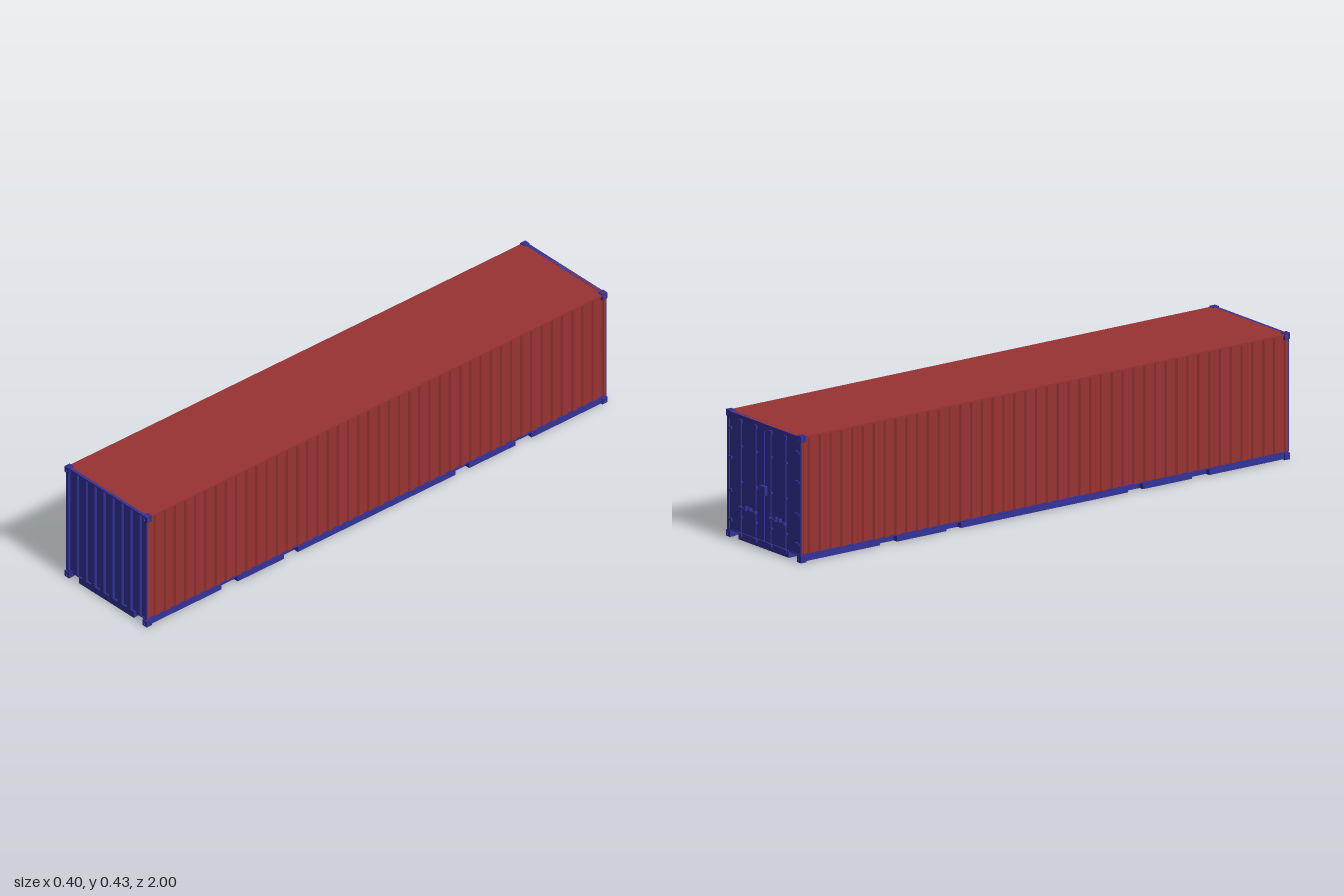
import * as THREE from 'three';

const red = new THREE.MeshStandardMaterial({ color: 0x993333 });
const blue = new THREE.MeshStandardMaterial({ color: 0x333399 });

function add(parent, name, geometry, material, x = 0, y = 0, z = 0) {
  const mesh = new THREE.Mesh(geometry, material);
  mesh.name = name;
  mesh.position.set(x, y, z);
  parent.add(mesh);
  return mesh;
}

const box = (parent, name, mat, w, h, d, x, y, z) =>
  add(parent, name, new THREE.BoxGeometry(w, h, d), mat, x, y, z);

// Extrude a plan outline upwards; plan y becomes -z
function extrudeUp(shape, height) {
  return new THREE.ExtrudeGeometry(shape, { depth: height, bevelEnabled: false }).rotateX(-Math.PI / 2);
}

// Wall with n trapezoidal grooves; outer face on z = 0, facing +z
function corrugated(length, n, pitch, height) {
  const depth = 0.006;
  const pts = [[-length / 2, 0]];
  for (let i = 0; i < n; i++) {
    const c = (i - (n - 1) / 2) * pitch;
    pts.push([c - 0.013, 0], [c - 0.008, depth], [c + 0.008, depth], [c + 0.013, 0]);
  }
  pts.push([length / 2, 0], [length / 2, 0.01], [-length / 2, 0.01]);
  return extrudeUp(new THREE.Shape(pts.map(p => new THREE.Vector2(...p))), height);
}

// Corner block: a core clad with six plates, each with an oval hole
function cornerCasting() {
  const g = new THREE.Group();
  g.name = 'cornerCasting';
  const s = 0.011, t = 0.003;
  box(g, 'castingCore', blue, 2 * (s - t), 2 * (s - t), 2 * (s - t), 0, 0, 0);
  const face = new THREE.Shape([[-s, -s], [s, -s], [s, s], [-s, s]].map(p => new THREE.Vector2(...p)));
  face.holes.push(new THREE.Path().absellipse(0, 0, 0.0045, 0.007, 0, Math.PI * 2, true));
  const plate = new THREE.ExtrudeGeometry(face, { depth: t, bevelEnabled: false, curveSegments: 8 });
  plate.translate(0, 0, s - t);
  const turns = [[0, 0], [0, 1], [0, 2], [0, 3], [1, 0], [-1, 0]];
  for (const [rx, ry] of turns) {
    add(g, 'castingPlate', plate, blue).rotation.set(rx * Math.PI / 2, ry * Math.PI / 2, 0);
  }
  return g;
}

// Base outline with open pockets at the ends and fork pockets along the sides
function basePlan() {
  const q = [[0.135, 0.992], [0.135, 0.9], [0.178, 0.9], [0.178, 0.992], [0.198, 0.992],
    [0.198, 0.67], [0.18, 0.67], [0.18, 0.6], [0.198, 0.6],
    [0.198, 0.4], [0.18, 0.4], [0.18, 0.34], [0.198, 0.34]];
  const half = [...q, ...q.map(([x, z]) => [x, -z]).reverse()];
  const all = [...half, ...half.map(([x, z]) => [-x, z]).reverse()];
  const shape = new THREE.Shape(all.map(p => new THREE.Vector2(...p)));
  for (const s of [-1, 1]) {
    const a = s * 0.135, b = s * 0.178;
    shape.holes.push(new THREE.Path([[a, -0.08], [b, -0.08], [b, 0.08], [a, 0.08]].map(p => new THREE.Vector2(...p))));
  }
  return shape;
}

export function createModel() {
  const model = new THREE.Group();
  model.name = 'shippingContainer';

  // Base frame and floor
  add(model, 'baseFrame', extrudeUp(basePlan(), 0.021), blue, 0, 0.003, 0.004);
  box(model, 'floor', blue, 0.396, 0.004, 1.982, 0, 0.025, 0.004);

  // Roof
  box(model, 'roof', red, 0.398, 0.005, 1.98, 0, 0.4225, 0.004);

  // Corrugated side walls and their slim top rails
  const sideWall = corrugated(1.98, 45, 0.044, 0.394);
  for (const s of [-1, 1]) {
    add(model, 'sideWall', sideWall, red, s * 0.199, 0.027, 0.004).rotation.y = s * Math.PI / 2;
    box(model, 'topRail', red, 0.008, 0.006, 1.98, s * 0.195, 0.422, 0.004);
  }

  // Corrugated front end with rails
  add(model, 'frontWall', corrugated(0.396, 9, 0.044, 0.394), blue, 0, 0.027, 0.997);
  box(model, 'frontTopRail', blue, 0.396, 0.005, 0.01, 0, 0.4228, 0.992);
  box(model, 'frontSill', blue, 0.27, 0.024, 0.01, 0, 0.015, 0.992);

  // Eight corner castings
  for (const x of [-0.191, 0.191])
    for (const y of [0.011, 0.417])
      for (const z of [-0.979, 0.989]) {
        const c = cornerCasting();
        c.position.set(x, y, z);
        model.add(c);
      }

  // Door frame
  const doorEnd = new THREE.Group();
  doorEnd.name = 'doorEnd';
  model.add(doorEnd);
  box(doorEnd, 'doorHeader', blue, 0.396, 0.024, 0.014, 0, 0.413, -0.982);
  box(doorEnd, 'doorSill', blue, 0.27, 0.024, 0.014, 0, 0.015, -0.982);
  const barGeo = new THREE.CylinderGeometry(0.0025, 0.0025, 0.378, 8);
  for (const s of [-1, 1]) {
    box(doorEnd, 'doorPost', blue, 0.012, 0.38, 0.014, s * 0.192, 0.215, -0.982);
    box(doorEnd, 'doorPanel', blue, 0.183, 0.374, 0.01, s * 0.0935, 0.214, -0.98);

    // Hinges along the outer edge
    for (const y of [0.06, 0.16, 0.27, 0.37])
      box(doorEnd, 'hinge', blue, 0.022, 0.009, 0.006, s * 0.181, y, -0.989);

    // Locking bars with keepers, brackets and handles
    for (const x of [0.04, 0.12]) {
      add(doorEnd, 'lockingBar', barGeo, blue, s * x, 0.214, -0.99);
      for (const y of [0.022, 0.406]) box(doorEnd, 'barKeeper', blue, 0.014, 0.012, 0.008, s * x, y, -0.991);
      for (const y of [0.08, 0.2, 0.32]) box(doorEnd, 'barBracket', blue, 0.01, 0.006, 0.009, s * x, y, -0.989);
      const inward = x > 0.1 ? -1 : 1;
      box(doorEnd, 'handle', blue, 0.036, 0.005, 0.004, s * (x + inward * 0.016), 0.115, -0.998);
      box(doorEnd, 'handlePivot', blue, 0.008, 0.009, 0.012, s * x, 0.115, -0.993);
      box(doorEnd, 'handleCatch', blue, 0.008, 0.014, 0.012, s * (x + inward * 0.03), 0.117, -0.991);
    }
  }

  // Lock cover over the door seam
  box(doorEnd, 'lockCover', blue, 0.03, 0.03, 0.012, 0, 0.2, -0.99);

  return model;
}
